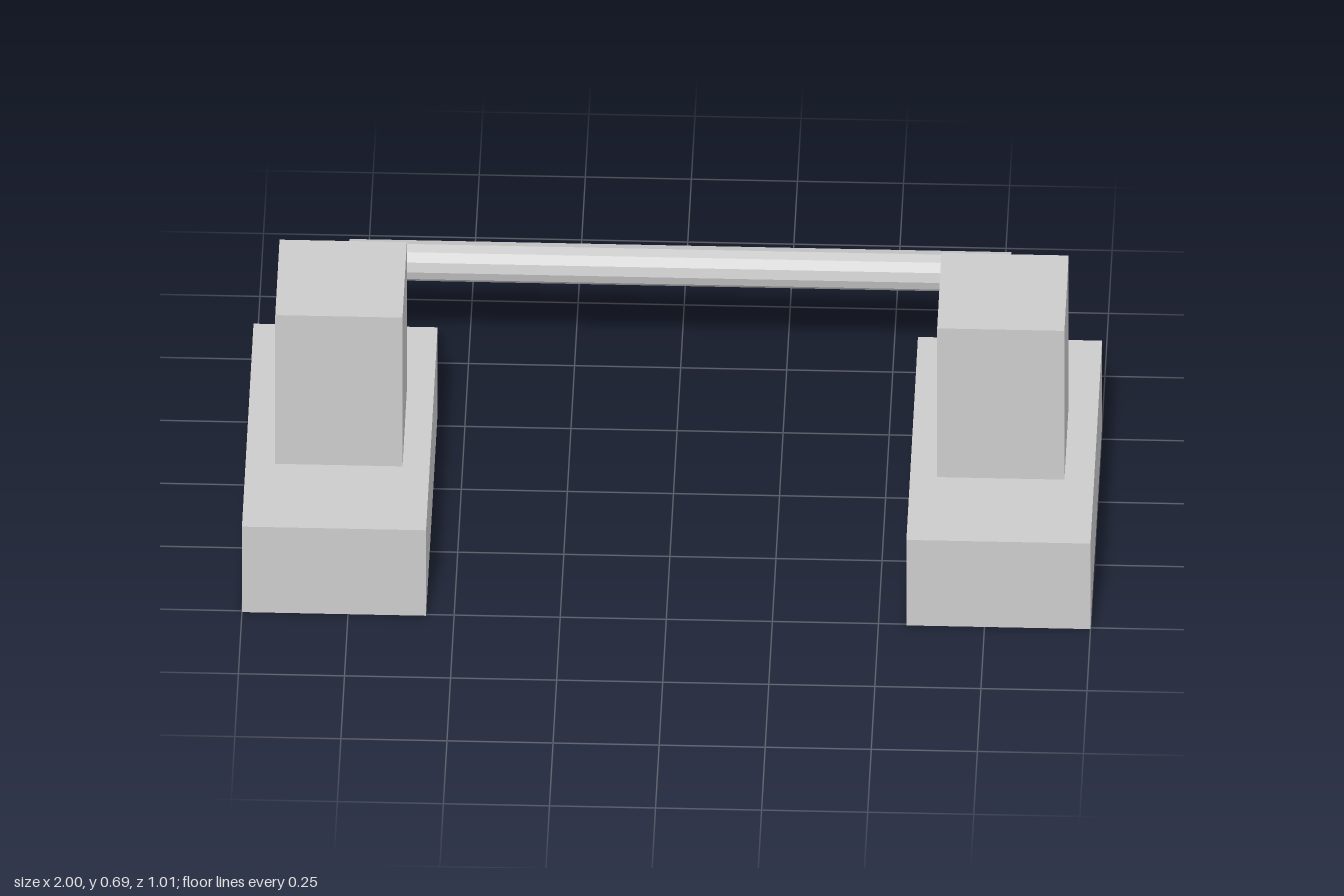
import * as THREE from 'three';

export function createModel() {
  const model = new THREE.Group();
  const material = new THREE.MeshStandardMaterial({ color: 0xcccccc, flatShading: true });
  const rodRadius = 0.048, rodY = 0.33, barZ = -0.457, armX = 0.78;

  function add(name, geometry, x, y, z) {
    const mesh = new THREE.Mesh(geometry, material);
    mesh.name = name;
    mesh.position.set(x, y, z);
    model.add(mesh);
    return mesh;
  }
  const rod = (length) => new THREE.CylinderGeometry(rodRadius, rodRadius, length, 12);

  // Mirrored feet, posts and rear arms
  for (const [side, s] of [['left', 1], ['right', -1]]) {
    add(side + 'Base', new THREE.BoxGeometry(0.434, 0.25, 0.807), s * 0.783, 0.125, 0.1015);
    add(side + 'Post', new THREE.BoxGeometry(0.3, 0.435, 0.3), s * armX, 0.4675, 0.103);
    const armFront = -0.047;
    add(side + 'Arm', rod(armFront - barZ), s * armX, rodY, (armFront + barZ) / 2).rotation.x = Math.PI / 2;
  }

  // Crossbar joining the ends of the arms
  add('crossbar', rod(2 * armX), 0, rodY, barZ).rotation.z = Math.PI / 2;

  return model;
}
